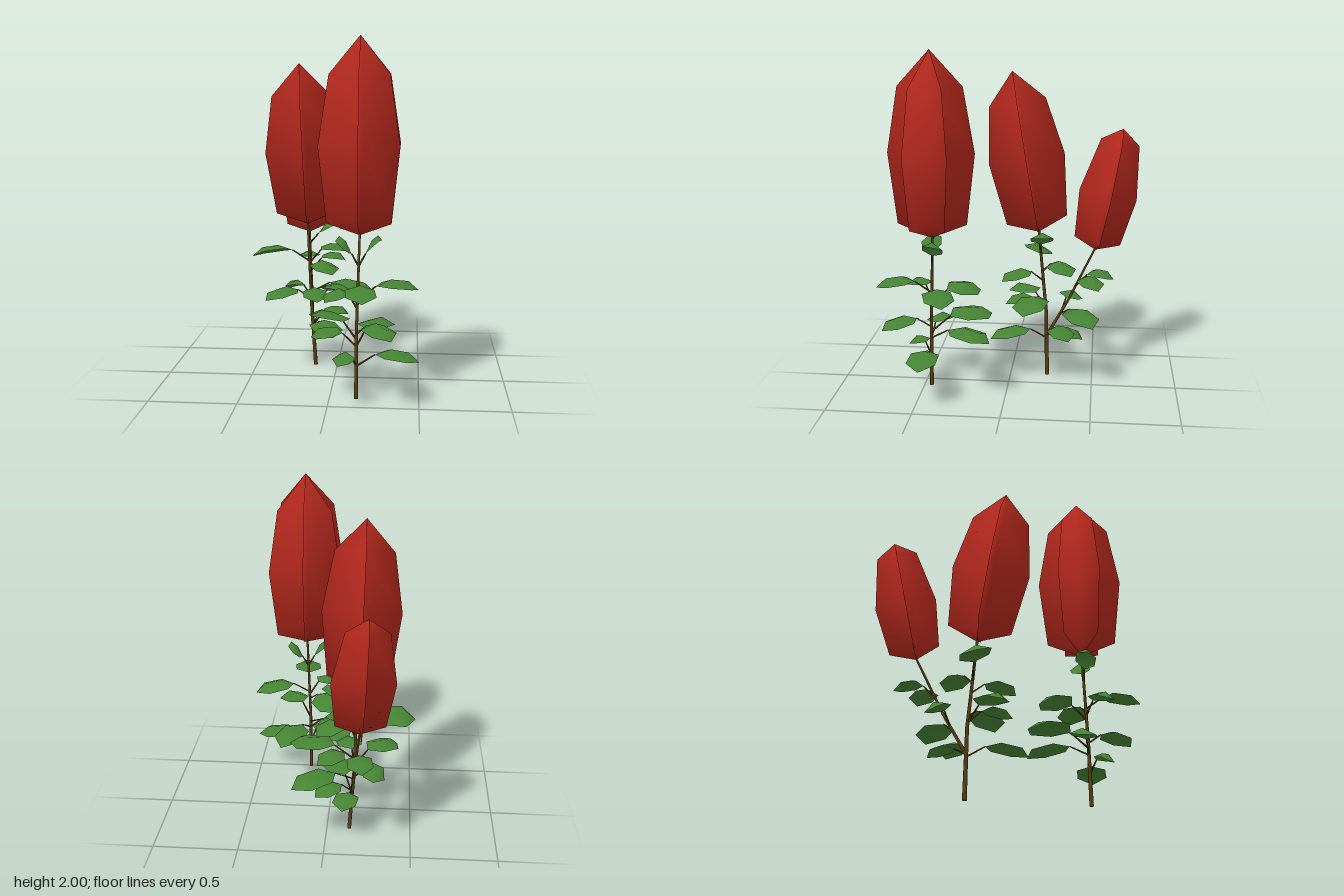
import * as THREE from 'three';

const V = (p) => new THREE.Vector3(...p);
const UP = new THREE.Vector3(0, 1, 0);

// Finned bloom of unit height: a lathe whose every second column is pulled in to the axis
function bloomGeometry(fins, shoulder) {
  const profile = [[0, 0], [0.188, 0.075], [0.234, 0.46], shoulder, [0, 1]]
    .map(([r, y]) => new THREE.Vector2(r, y));
  const geo = new THREE.LatheGeometry(profile, fins * 2);
  const pos = geo.attributes.position;
  for (let i = 0; i < pos.count; i++) {
    const column = Math.floor(i / profile.length);
    if (column % 2 === 1) pos.setXYZ(i, pos.getX(i) * 0.06, pos.getY(i), pos.getZ(i) * 0.06);
  }
  return geo;
}

// Tapered rod between two points
function rod(a, b, r0, r1, sides, material, name) {
  const d = b.clone().sub(a);
  const mesh = new THREE.Mesh(new THREE.CylinderGeometry(r1, r0, d.length(), sides), material);
  mesh.position.copy(a).addScaledVector(d, 0.5);
  mesh.quaternion.setFromUnitVectors(UP, d.normalize());
  mesh.name = name;
  return mesh;
}

// Folded leaf blade: an arched midrib with drooping sides, rolled about its length
function bladeGeometry(root, tip, width, roll) {
  const along = tip.clone().sub(root);
  const side = new THREE.Vector3(-along.z, 0, along.x).normalize();
  const at = (t, s, lift) => root.clone().addScaledVector(along, t)
    .addScaledVector(side, s * width).addScaledVector(UP, lift + s * roll).toArray();
  const points = [at(0, 0, 0), at(0.36, 0, 0.045), at(0.76, 0, 0.045), at(1, 0, 0)];
  for (const s of [-1, 1]) points.push(at(0.24, s * 0.46, 0.01), at(0.72, s * 0.48, 0.012));
  const geo = new THREE.BufferGeometry();
  geo.setAttribute('position', new THREE.Float32BufferAttribute(points.flat(), 3));
  geo.setIndex([
    0, 1, 4, 4, 1, 5, 1, 2, 5, 2, 3, 5,
    0, 6, 1, 6, 7, 1, 1, 7, 2, 2, 7, 3,
  ]);
  geo.computeVertexNormals();
  return geo;
}

// Point on a stem polyline at height y
function stemAt(path, y) {
  let i = 1;
  while (i < path.length - 1 && path[i].y < y) i++;
  const a = path[i - 1], b = path[i];
  return a.clone().lerp(b, THREE.MathUtils.clamp((y - a.y) / (b.y - a.y), 0, 1));
}

export function createModel() {
  const petalRed = new THREE.MeshStandardMaterial({ color: 0xb3281d });
  const leafGreen = new THREE.MeshStandardMaterial({ color: 0x468434, side: THREE.DoubleSide });
  const stemBrown = new THREE.MeshStandardMaterial({ color: 0x573f10 });

  // One flower; each leaf is given by its tip and an optional roll
  function flower({ name, fins, shoulder = [0.174, 0.81], yaw = 0, tip, radius, stem, leaves }) {
    const group = new THREE.Group();
    group.name = name;
    const path = stem.map(V);
    const top = path[path.length - 1];

    // Stem
    for (let i = 1; i < path.length; i++) {
      const r = radius * (1.2 - 0.2 * i);
      group.add(rod(path[i - 1], path[i], r, r - radius * 0.2, 6, stemBrown, 'stem'));
    }

    // Bloom
    const base = top.clone();
    base.y -= 0.01;
    const axis = V(tip).sub(base);
    const bloom = new THREE.Mesh(bloomGeometry(fins, shoulder), petalRed);
    bloom.name = 'bloom';
    bloom.position.copy(base);
    bloom.scale.setScalar(axis.length());
    bloom.quaternion.setFromUnitVectors(UP, axis.normalize());
    bloom.rotateY(yaw);
    group.add(bloom);

    // Leaves with their stalks: longer ones are wider, those under the bloom point upward
    for (const [x, y, z, roll = 0] of leaves) {
      const end = V([x, y, z]);
      const drop = y > top.y - 0.06 ? -0.07 : 0.035;
      const joint = stemAt(path, y + drop - 0.07);
      const width = 0.09 + 0.25 * Math.hypot(x - joint.x, z - joint.z);
      const root = joint.clone().lerp(end, 0.3);
      root.y = y + drop;
      group.add(rod(joint, root, 0.006, 0.004, 4, stemBrown, 'leafStalk'));
      const leaf = new THREE.Mesh(bladeGeometry(root, end, width, roll), leafGreen);
      leaf.name = 'leaf';
      group.add(leaf);
    }
    return group;
  }

  const model = new THREE.Group();
  model.name = 'flowers';
  model.add(flower({
    name: 'tallFlower', fins: 6, tip: [0.17, 2, 0.42], radius: 0.012,
    stem: [[0.155, 0.03, 0.445], [0.155, 0.4, 0.44], [0.17, 0.95, 0.42]],
    leaves: [
      [0.5, 0.25, 0.46], [0.49, 0.62, 0.32], [0.31, 0.36, 0.08], [-0.1, 0.4, 0.11, -0.03],
      [-0.03, 0.57, 0.17, -0.04], [-0.1, 0.36, 0.4, 0.02], [0.2, 0.64, 0.75], [0.35, 0.43, 0.69],
      [-0.01, 0.6, 0.57], [0.06, 0.25, 0.57], [0.29, 0.91, 0.4, 0.03], [0.04, 0.91, 0.45, 0.03],
    ],
  }));
  model.add(flower({
    name: 'middleFlower', fins: 4, yaw: 0.07, tip: [-0.205, 1.855, 0], radius: 0.013,
    stem: [[-0.135, 0, -0.225], [-0.16, 0.4, -0.215], [-0.175, 0.91, -0.165]],
    leaves: [
      [-0.51, 0.7, -0.13, -0.05], [-0.41, 0.46, 0.01], [0, 0.27, 0.11], [0.23, 0.5, -0.1],
      [0.03, 0.91, -0.2], [-0.01, 0.63, 0.04], [-0.1, 0.46, 0.03], [0.05, 0.69, -0.37],
    ],
  }));
  model.add(flower({
    name: 'smallFlower', fins: 4, shoulder: [0.155, 0.89], yaw: 0.1, tip: [-0.245, 1.52, -0.655], radius: 0.01,
    stem: [[-0.152, 0.25, -0.22], [-0.17, 0.47, -0.345], [-0.2, 0.8, -0.505]],
    leaves: [
      [0.18, 0.42, -0.5], [0.03, 0.6, -0.53], [0.06, 0.29, -0.36],
      [-0.34, 0.44, -0.39, -0.03], [-0.1, 0.25, -0.44], [-0.22, 0.6, -0.62],
    ],
  }));
  return model;
}
